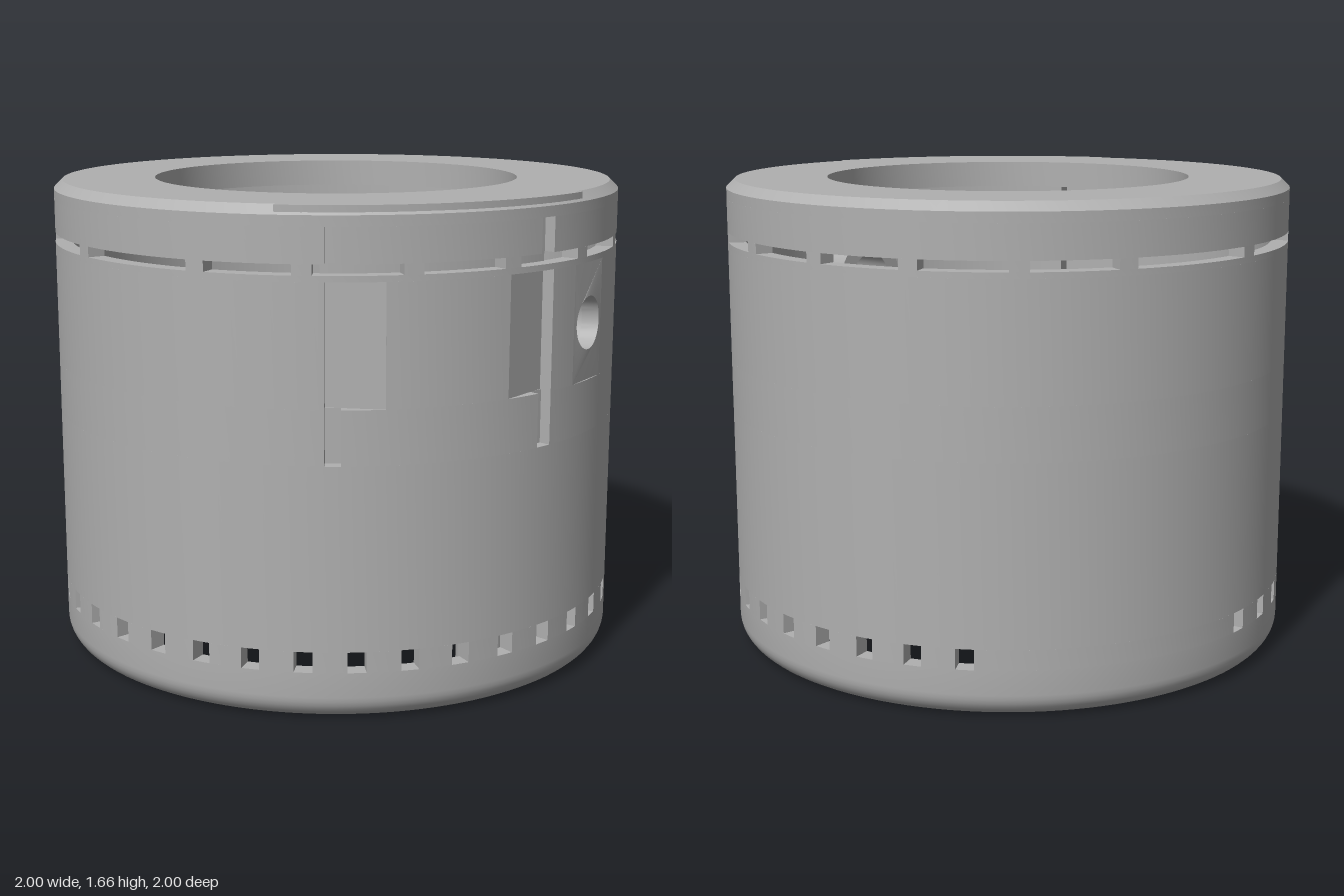
import * as THREE from 'three';
import { toCreasedNormals } from 'three/addons/utils/BufferGeometryUtils.js';
import { ConvexGeometry } from 'three/addons/geometries/ConvexGeometry.js';

const RAD = Math.PI / 180;
const OUTER = 1, INNER = 0.94;

export function createModel() {
  const model = new THREE.Group();
  model.name = 'housingSleeve';
  const grey = new THREE.MeshStandardMaterial({ color: 0xb0b0b0 });
  grey.name = 'plain grey';

  const add = (name, geo, parent = model) => {
    const mesh = new THREE.Mesh(toCreasedNormals(geo, 0.5), grey);
    mesh.name = name;
    parent.add(mesh);
    return mesh;
  };
  const group = (name) => {
    const g = new THREE.Group();
    g.name = name;
    model.add(g);
    return g;
  };
  // Closed profile of [radius, height] turned around the y axis
  const turned = (pts, segments = 128) =>
    new THREE.LatheGeometry([...pts, pts[0]].map(p => new THREE.Vector2(...p)), segments);
  // Upright prism over polar corners [degrees from the front, radius]
  const prism = (polar, y0, y1) => {
    const shape = new THREE.Shape(polar.map(([a, r]) =>
      new THREE.Vector2(r * Math.sin(a * RAD), -r * Math.cos(a * RAD))));
    return new THREE.ExtrudeGeometry(shape, { depth: y1 - y0, bevelEnabled: false })
      .rotateX(-Math.PI / 2).translate(0, y0, 0);
  };
  const sector = (a0, a1, r0, r1, y0, y1) => {
    const n = Math.max(2, Math.ceil((a1 - a0) / 2.5)), out = [], back = [];
    for (let i = 0; i <= n; i++) {
      const a = a0 + (a1 - a0) * i / n;
      out.push([a, r1]);
      back.unshift([a, r0]);
    }
    return prism([...out, ...back], y0, y1);
  };
  // Band of wall with openings given as [start, end] angles in rising order
  const band = (name, y0, y1, cuts) => {
    const g = group(name);
    cuts.forEach(([, end], i) => {
      const next = i + 1 < cuts.length ? cuts[i + 1][0] : cuts[0][0] + 360;
      if (next - end > 0.1) add('wallPanel', sector(end, next, INNER, OUTER, y0, y1), g);
    });
  };
  const ring = (name, y0, y1) =>
    add(name, turned([[INNER, y0], [OUTER, y0], [OUTER, y1], [INNER, y1]]));

  // Rounded lower lip
  const lip = [[INNER, 0.165], [INNER, 0.01], [0.925, 0]];
  for (let i = 1; i <= 8; i++) {
    const t = i / 8 * Math.PI / 2;
    lip.push([0.925 + 0.075 * Math.sin(t), 0.08 - 0.08 * Math.cos(t)]);
  }
  add('lowerLip', turned([...lip, [OUTER, 0.165]]));

  // Row of small vents, left out at the back
  const vents = [];
  for (let a = -150; a <= 150; a += 10) vents.push([a - 1.75, a + 1.75]);
  band('ventBand', 0.165, 0.235, vents);

  // Main wall with its two front pockets and narrow slits
  const slits = [[-36, -33], [7, 10.5]];
  const pockets = [[-36, -25], [-0.5, 10.5]];
  const port = [17.6, 29.6];
  ring('mainWall', 0.235, 0.85);
  band('lowerSlitBand', 0.85, 1.03, slits);
  band('pocketBand', 1.03, 1.43, [...pockets, port]);
  ring('upperWall', 1.43, 1.45);

  // Long slots below the rim
  const slots = [];
  for (let a = 0; a < 360;) {
    const step = a >= 180 && a < 300 ? 30 : 20;
    slots.push([a + 1.8, a + step - 1.8]);
    a += step;
  }
  band('slotBand', 1.45, 1.485, slots);
  band('upperSlitBand', 1.485, 1.6, slits);

  // Top plate with chamfered rim and large opening
  add('topPlate', turned([
    [0.645, 1.57], [INNER, 1.57], [INNER, 1.6], [OUTER, 1.6],
    [OUTER, 1.635], [0.97, 1.665], [0.645, 1.665],
  ]));
  add('frontRim', sector(-45, 20, 0.968, 0.992, 1.63, 1.665));

  // Sloping pocket floors and slit backs
  add('rightPocketFloor', prism([[-36, 0.955], [-25, 0.999], [-25, 0.92], [-36, 0.92]], 1.03, 1.43));
  add('leftPocketFloor', prism([[-0.5, 0.999], [10.5, 0.955], [10.5, 0.92], [-0.5, 0.92]], 1.03, 1.43));
  for (const [a0, a1] of slits) {
    add('slitBack', sector(a0, a1, 0.92, 0.96, 0.85, 1.03));
    add('slitBack', sector(a0, a1, 0.92, 0.96, 1.485, 1.6));
  }

  // Curved wall patch with the round port
  const [p0, p1] = port.map(a => a * RAD);
  const patch = new THREE.Shape([[p0, 1.03], [p1, 1.03], [p1, 1.43], [p0, 1.43]]
    .map(p => new THREE.Vector2(...p)));
  const opening = new THREE.Path();
  opening.absellipse((p0 + p1) / 2, 1.225, 0.088, 0.09, 0, Math.PI * 2, true, 0);
  patch.holes.push(opening);
  const patchGeo = new THREE.ExtrudeGeometry(patch,
    { depth: OUTER - INNER, bevelEnabled: false, curveSegments: 32 });
  const pos = patchGeo.attributes.position;
  for (let i = 0; i < pos.count; i++) {
    const a = pos.getX(i), r = INNER + pos.getZ(i);
    pos.setXYZ(i, r * Math.sin(a), pos.getY(i), r * Math.cos(a));
  }
  add('portPanel', patchGeo);

  // Tube behind the port
  const tube = add('portTube',
    turned([[0.09, 0.76], [0.148, 0.76], [0.148, 0.945], [0.09, 0.945]], 40)
      .rotateX(Math.PI / 2).rotateY((p0 + p1) / 2));
  tube.position.y = 1.225;

  // Inner box behind the pockets, with a wedge tapering down the wall
  add('pocketHousing', sector(-37, 11.5, 0.84, 0.945, 0.85, 1.57));
  const at = (a, r, y) => new THREE.Vector3(r * Math.sin(a * RAD), y, r * Math.cos(a * RAD));
  add('housingWedge', new ConvexGeometry([
    at(-37, 0.84, 0.86), at(-13, 0.84, 0.86), at(11.5, 0.84, 0.86),
    at(-37, 0.95, 0.86), at(-13, 0.95, 0.86), at(11.5, 0.95, 0.86), at(-18, 0.95, 0.2),
  ]));

  // Four inner brackets and screw posts
  for (let i = 0; i < 4; i++) {
    const g = group('innerMount');
    g.rotation.y = i * Math.PI / 2;
    const block = add('mountBlock', new THREE.BoxGeometry(0.195, 0.12, 0.195), g);
    block.position.set(0.025, 0.62, 0.56);
    block.rotation.y = 42 * RAD;
    add('mountShelf', new THREE.BoxGeometry(0.2, 0.025, 0.29), g).position.set(0, 0.56, 0.795);
    add('mountPeg', new THREE.BoxGeometry(0.04, 0.08, 0.04), g).position.set(0.02, 0.53, 0.57);
    add('screwPost', turned([[0.03, 0.05], [0.08, 0.05], [0.08, 0.34], [0.03, 0.34]], 32), g)
      .position.z = 0.865;
  }
  return model;
}
